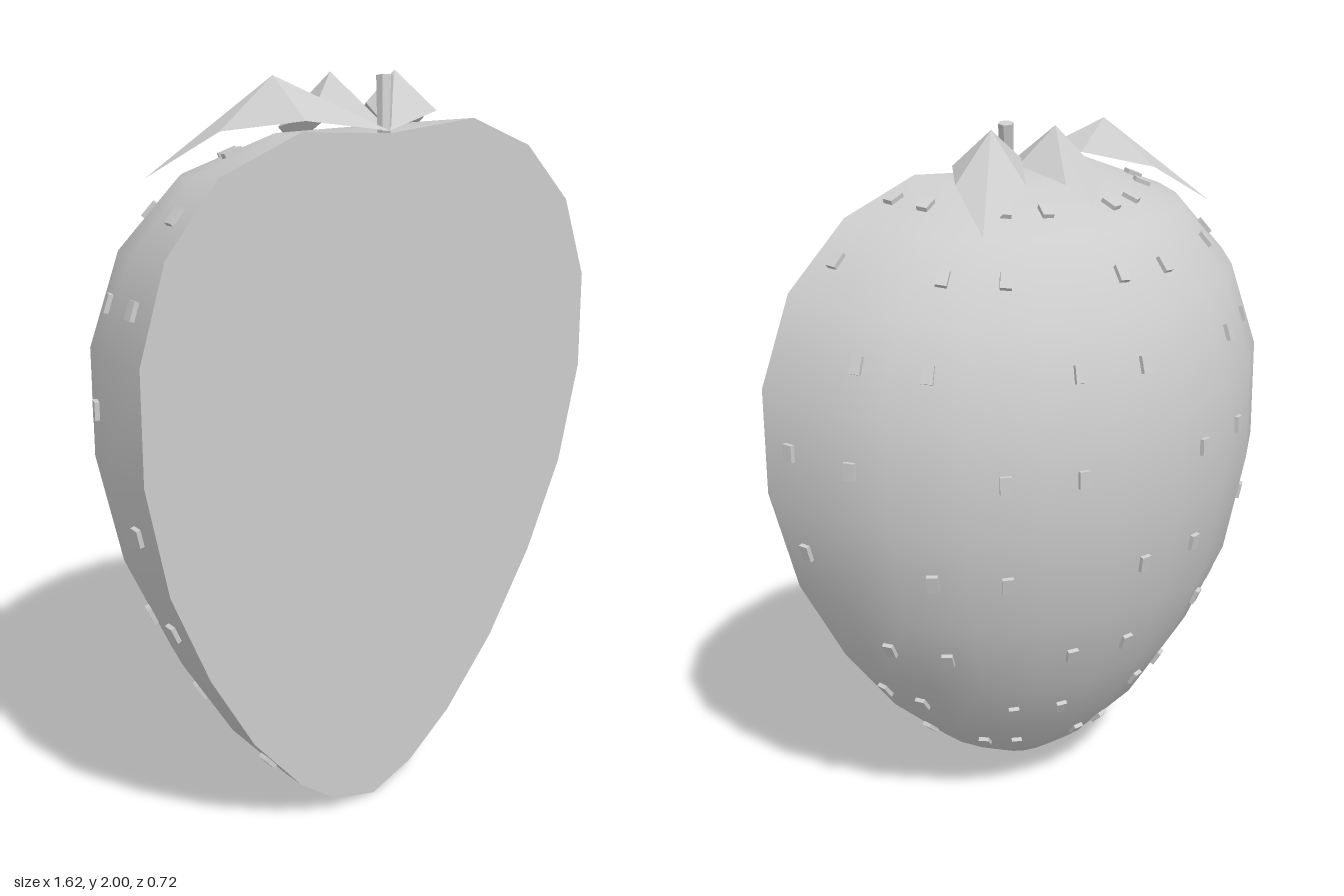
import * as THREE from 'three';
import { mergeVertices } from 'three/addons/utils/BufferGeometryUtils.js';

const CUT_Z = 0.36;   // plane of the cut face
const SEG = 12;       // facets around the half body

// cross-sections, bottom to top: [left x, right x, y, depth, drop of the ring at the back]
const RINGS = [
  [-0.05, -0.05, 0.0, 0, 0],
  [-0.2, 0.1, 0.045, 0.13, 0.015],
  [-0.335, 0.26, 0.15, 0.26, 0.02],
  [-0.495, 0.445, 0.335, 0.42, 0.035],
  [-0.635, 0.61, 0.57, 0.55, 0.06],
  [-0.75, 0.74, 0.83, 0.66, 0.07],
  [-0.813, 0.81, 1.12, 0.715, 0.07],
  [-0.813, 0.8, 1.4, 0.71, 0.07],
  [-0.735, 0.7, 1.63, 0.63, 0.06],
  [-0.58, 0.515, 1.795, 0.48, 0.045],
  [-0.33, 0.28, 1.88, 0.28, 0.03],
  [-0.03, -0.03, 1.86, 0, 0],
];

function ringPoint(i, k) {
  const [l, r, y, depth, drop] = RINGS[i];
  const t = (k / SEG) * Math.PI, s = Math.sin(t);
  return new THREE.Vector3((l + r) / 2 + ((r - l) / 2) * Math.cos(t), y - drop * s, CUT_Z - depth * s);
}

function add(parent, name, geometry, material) {
  const mesh = new THREE.Mesh(geometry, material);
  mesh.name = name;
  parent.add(mesh);
  return mesh;
}

function fromPoints(points) {
  return new THREE.BufferGeometry().setFromPoints(points);
}

// smooth rounded back of the fruit
function bodyGeometry() {
  const pts = [];
  const last = RINGS.length - 2;
  for (let i = 0; i <= last; i++) {
    for (let k = 0; k < SEG; k++) {
      const a = ringPoint(i, k), b = ringPoint(i, k + 1);
      const c = ringPoint(i + 1, k), d = ringPoint(i + 1, k + 1);
      if (i > 0) pts.push(a, b, d);
      if (i < last) pts.push(a, d, c);
      if (i === last) pts.splice(-3, 3, a, b, c);
    }
  }
  const geo = mergeVertices(fromPoints(pts), 1e-4);
  geo.computeVertexNormals();
  return geo;
}

// flat cut face closing the front
function cutGeometry() {
  const outline = [];
  for (const [, r, y] of RINGS) outline.push(new THREE.Vector2(r, y));
  for (const [l, , y] of RINGS.slice(1, -1).reverse()) outline.push(new THREE.Vector2(l, y));
  return new THREE.ShapeGeometry(new THREE.Shape(outline)).translate(0, 0, CUT_Z);
}

// folded leaf: a fan of flat facets around a raised ridge point
function leafGeometry(ridge, rim) {
  const v = (p) => new THREE.Vector3(...p);
  const pts = [];
  rim.forEach((p, i) => pts.push(v(ridge), v(p), v(rim[(i + 1) % rim.length])));
  const geo = fromPoints(pts);
  geo.computeVertexNormals();
  return geo;
}

export function createModel() {
  const model = new THREE.Group();
  model.name = 'halfStrawberry';
  const grey = new THREE.MeshStandardMaterial({ color: 0xcccccc, side: THREE.DoubleSide });
  grey.name = 'light grey';

  add(model, 'body', bodyGeometry(), grey);
  add(model, 'cutFace', cutGeometry(), grey);

  // seeds: one per facet, every third facet skipped, shifting by row
  const seeds = new THREE.Group();
  seeds.name = 'seeds';
  model.add(seeds);
  const seedGeo = new THREE.BoxGeometry(0.03, 0.046, 0.024);
  for (let i = 2; i <= 9; i++) {
    const skip = i % 3 === 0 ? 2 : i % 3 === 2 ? 1 : 0;
    for (let k = 0; k < SEG; k++) {
      if (k % 3 === skip) continue;
      const a = ringPoint(i, k), b = ringPoint(i, k + 1);
      const c = ringPoint(i + 1, k), d = ringPoint(i + 1, k + 1);
      const side = b.clone().add(d).sub(a).sub(c).normalize();
      const up = c.clone().add(d).sub(a).sub(b).normalize();
      const out = side.clone().cross(up).normalize();
      side.copy(up).cross(out);
      const seed = add(seeds, 'seed', seedGeo, grey);
      seed.quaternion.setFromRotationMatrix(new THREE.Matrix4().makeBasis(side, up, out));
      seed.position.copy(a).add(b).add(c).add(d).multiplyScalar(0.25);
    }
  }

  // three leaves: base, near side, far side, tip, far side, near side
  const leaves = new THREE.Group();
  leaves.name = 'leaves';
  model.add(leaves);
  const base = [-0.03, 1.865, 0.355];
  add(leaves, 'leftLeaf', leafGeometry([0.16, 2.0, 0.185],
    [base, [0.195, 1.9, 0.305], [0.3, 1.875, 0.17], [0.355, 1.77, 0.005], [0.16, 1.87, 0.055], [0.06, 1.92, 0.18]]), grey);
  add(leaves, 'middleLeaf', leafGeometry([-0.035, 2.0, 0.145],
    [base, [0.06, 1.9, 0.19], [0.03, 1.86, 0.04], [-0.02, 1.8, -0.01], [-0.12, 1.86, 0.04], [-0.15, 1.9, 0.2]]), grey);
  add(leaves, 'rightLeaf', leafGeometry([-0.27, 2.0, 0.19],
    [base, [-0.14, 1.92, 0.15], [-0.33, 1.87, 0.05], [-0.53, 1.76, 0.015], [-0.425, 1.875, 0.175], [-0.28, 1.9, 0.32]]), grey);

  // leaning stem
  const foot = new THREE.Vector3(-0.03, 1.86, 0.335), top = new THREE.Vector3(-0.008, 1.995, 0.312);
  const stemGeo = new THREE.CylinderGeometry(0.022, 0.018, foot.distanceTo(top), 6).toNonIndexed();
  stemGeo.computeVertexNormals();
  const stem = add(model, 'stem', stemGeo, grey);
  stem.position.copy(foot).add(top).multiplyScalar(0.5);
  stem.quaternion.setFromUnitVectors(new THREE.Vector3(0, 1, 0), top.clone().sub(foot).normalize());

  return model;
}
